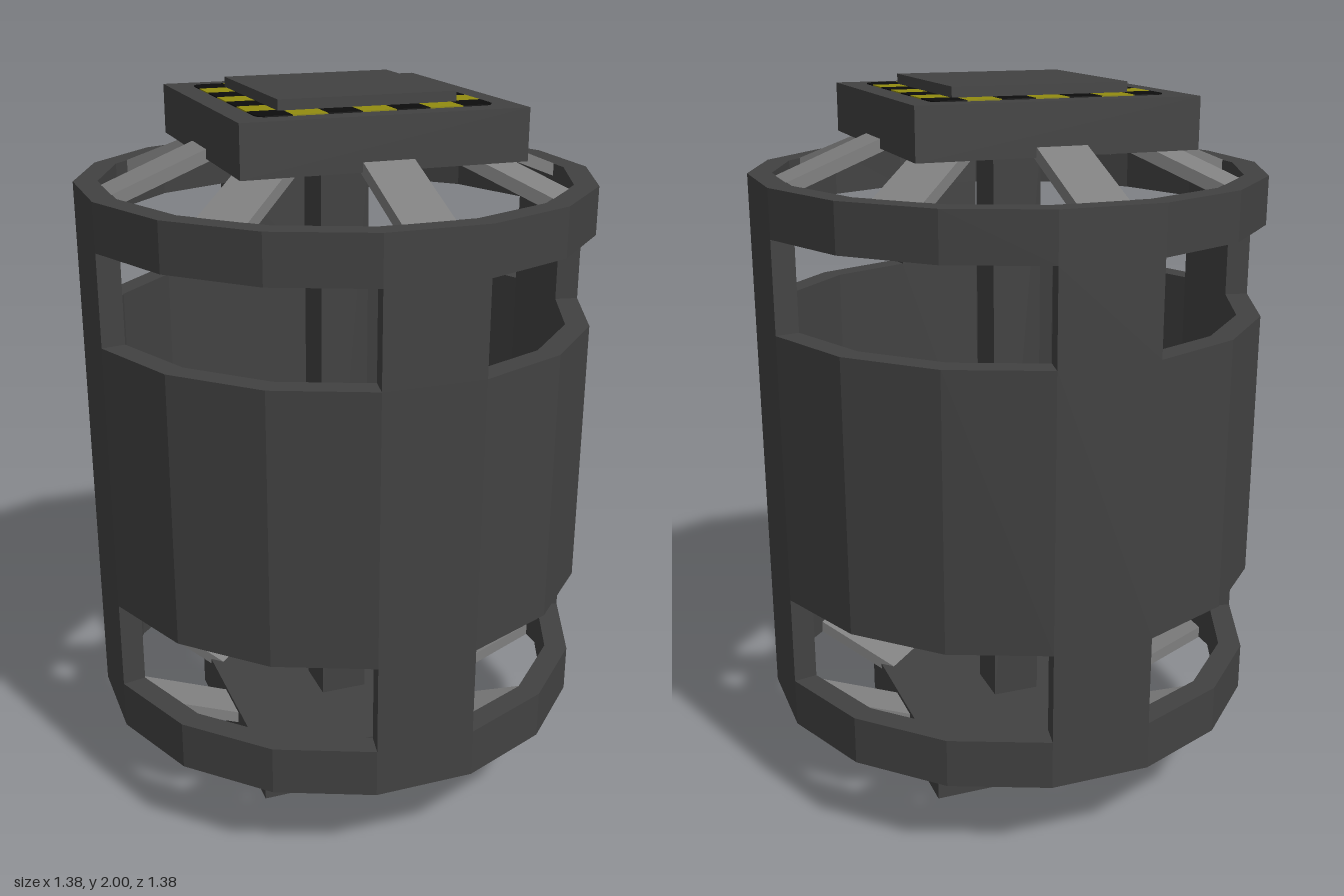
import * as THREE from 'three';

const mat = (name, color) => {
  const m = new THREE.MeshStandardMaterial({ color });
  m.name = name;
  return m;
};

export function createModel() {
  const model = new THREE.Group();
  const dark = mat('dark steel', 0x424242);
  const grey = mat('grey steel', 0x808080);
  const black = mat('stripe black', 0x0d0d0d);
  const yellow = mat('stripe yellow', 0x928c10);
  const red = mat('stripe red', 0x8c0a0a);

  const add = (name, geo, material, parent = model) => {
    const mesh = new THREE.Mesh(geo, material);
    mesh.name = name;
    parent.add(mesh);
    return mesh;
  };
  const box = (name, w, y0, y1, material = dark) =>
    add(name, new THREE.BoxGeometry(w, y1 - y0, w).translate(0, (y0 + y1) / 2, 0), material);

  // Sixteen-sided hollow drum: facets face the axes
  const SIDES = 16, STEP = (Math.PI * 2) / SIDES;
  const rOut = 0.692 / Math.cos(STEP / 2), rIn = 0.628 / Math.cos(STEP / 2);
  const corner = (r, k) => new THREE.Vector2(
    r * Math.cos((k + 0.5) * STEP), r * Math.sin((k + 0.5) * STEP));
  const upright = (shape, y0, y1) =>
    new THREE.ExtrudeGeometry(shape, { depth: y1 - y0, bevelEnabled: false })
      .rotateX(-Math.PI / 2).translate(0, y0, 0);

  const polygon = r => Array.from({ length: SIDES }, (_, k) => corner(r, k));
  const ring = new THREE.Shape(polygon(rOut));
  ring.holes.push(new THREE.Path(polygon(rIn)));
  add('lowerRing', upright(ring, 0.245, 0.38), dark);
  add('drumBand', upright(ring, 0.63, 1.38), dark);
  add('upperRing', upright(ring, 1.63, 1.76), dark);

  // Pillars between the windows, one facet wide
  for (let k = 0; k < SIDES; k += 4) {
    const facet = new THREE.Shape([
      corner(rIn, k - 1), corner(rOut, k - 1), corner(rOut, k), corner(rIn, k)]);
    add('lowerPillar', upright(facet, 0.38, 0.63), dark);
    add('upperPillar', upright(facet, 1.38, 1.63), dark);
  }

  // End plates, pads and the square core
  box('topPlate', 0.76, 1.835, 1.97);
  box('topPad', 0.48, 1.97, 2.0);
  box('bottomPlate', 0.68, 0.04, 0.175);
  box('bottomPad', 0.41, 0, 0.04);
  box('core', 0.137, 0.175, 1.835);

  // Eight sloping spokes at each end, mirrored top to bottom
  const spokeGeo = flip => {
    const y = v => (flip ? 2.005 - v : v);
    const profile = new THREE.Shape([[0.25, 1.912], [0.638, 1.757], [0.638, 1.722], [0.25, 1.877]]
      .map(([r, h]) => new THREE.Vector2(r, y(h))));
    return new THREE.ExtrudeGeometry(profile, { depth: 0.137, bevelEnabled: false })
      .translate(0, 0, -0.0685);
  };
  for (const flip of [false, true]) {
    const geo = spokeGeo(flip);
    for (let i = 0; i < 8; i++) {
      add(flip ? 'lowerSpoke' : 'upperSpoke', geo, grey).rotation.y = (i * Math.PI) / 4;
    }
  }

  // One stripe cell; corner cells get a rounded outer corner
  const stripeCell = (s, cx, cy, sx, sy) => {
    const h = s / 2, r = s * 0.4, shape = new THREE.Shape();
    const p = (x, y) => [cx + x * (sx || 1), cy + y * (sy || 1)];
    shape.moveTo(...p(-h, -h));
    shape.lineTo(...p(h, -h));
    if (sx && sy) {
      shape.lineTo(...p(h, h - r));
      shape.quadraticCurveTo(...p(h, h), ...p(h - r, h));
    } else shape.lineTo(...p(h, h));
    shape.lineTo(...p(-h, h));
    return new THREE.ExtrudeGeometry(shape, { depth: 0.004, bevelEnabled: false, curveSegments: 4 });
  };

  // Square border of seven cells per side
  const stripeBorder = (name, half, colour) => {
    const group = new THREE.Group();
    group.name = name;
    const s = (half * 2) / 7;
    for (let i = -3; i <= 3; i++) for (let j = -3; j <= 3; j++) {
      if (Math.abs(i) < 3 && Math.abs(j) < 3) continue;
      const sx = Math.abs(i) === 3 ? Math.sign(i) : 0, sy = Math.abs(j) === 3 ? Math.sign(j) : 0;
      add('stripe', stripeCell(s, i * s, j * s, sx, sy), (i + j) % 2 ? colour : black, group);
    }
    model.add(group);
    return group;
  };
  const topBorder = stripeBorder('topStripes', 0.315, yellow);
  topBorder.rotation.x = -Math.PI / 2;
  topBorder.position.y = 1.969;
  const bottomBorder = stripeBorder('bottomStripes', 0.283, red);
  bottomBorder.rotation.x = Math.PI / 2;
  bottomBorder.position.y = 0.041;

  // Striped strip on the back edge of the bottom plate
  for (let i = -3; i <= 3; i++) {
    add('backStripe', new THREE.BoxGeometry(0.081, 0.07, 0.005).translate(i * 0.081, 0.135, -0.341),
      i % 2 ? black : red);
  }
  return model;
}
